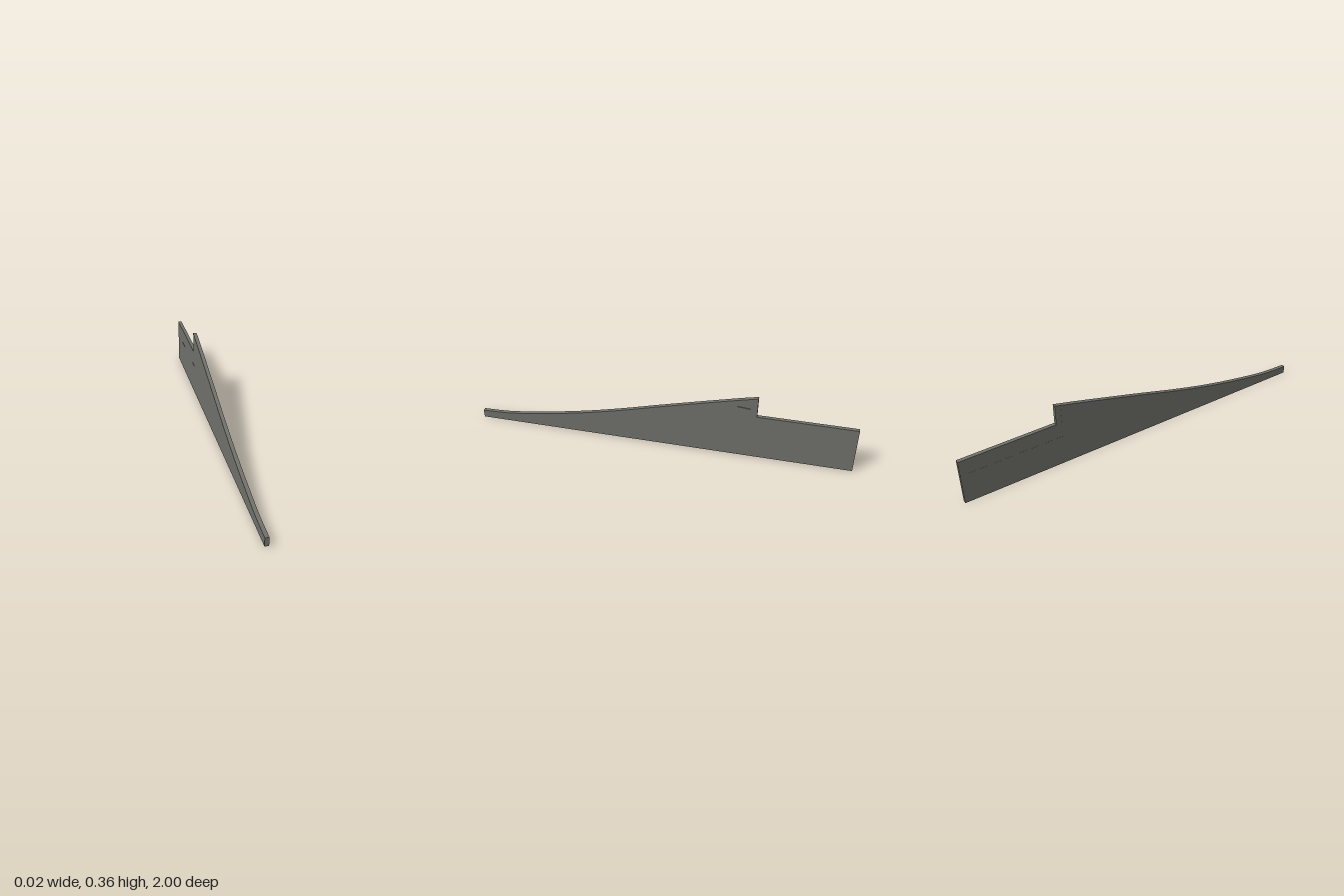
import * as THREE from 'three';

// Upper edge of the blade as (u, y), where u runs from the nose to the tail (u = -z)
const edge = new THREE.SplineCurve([
  [-1, 0.043], [-0.9, 0.046], [-0.8, 0.055], [-0.6, 0.087], [-0.4, 0.127], [-0.2, 0.176],
  [0, 0.231], [0.2, 0.284], [0.4, 0.336], [0.5, 0.36],
].map(([u, y]) => new THREE.Vector2(u, y))).getPoints(48);

const points = (list) => list.map(([u, y]) => new THREE.Vector2(u, y));

export function createModel() {
  const model = new THREE.Group();
  const grey = new THREE.MeshStandardMaterial({ color: 0x70716b });
  grey.name = 'warm grey';

  // Plate with a side outline, spanning x0 to x1
  function plate(name, outline, x0, x1, hole) {
    const shape = new THREE.Shape(outline);
    if (hole) shape.holes.push(new THREE.Path(hole));
    const geometry = new THREE.ExtrudeGeometry(shape, { depth: x1 - x0, bevelEnabled: false });
    geometry.rotateY(Math.PI / 2);
    geometry.translate(x0, 0, 0);
    const mesh = new THREE.Mesh(geometry, grey);
    mesh.name = name;
    model.add(mesh);
  }

  // Wedge body with the step behind its peak
  const outline = [...points([[-1, 0], [1, 0], [1, 0.25], [0.5, 0.25]]), ...edge.slice().reverse()];
  plate('body', outline, -0.0096, 0.006);

  // Left skin with the small triangular recess below the peak
  const recess = points([[0.395, 0.298], [0.465, 0.32], [0.465, 0.292]]);
  plate('leftSkin', outline, 0.006, 0.0096, recess);

  // Rim following the curved edge on the left side
  const inner = edge.filter((p) => p.x < 0.465).map((p) => new THREE.Vector2(p.x, p.y - 0.036));
  plate('leftRim', [...inner, ...points([[0.465, 0.32], [0.465, 0.25], [0.5, 0.25]]), ...edge.slice().reverse()],
    0.0096, 0.01);

  // Right side panel, with the tail strip and corner tab left marginally lower
  const front = edge.filter((p) => p.x < 0.47);
  plate('rightPanel', [...points([[-1, 0], [1, 0], [1, 0.167], [0.47, 0.167], [0.47, 0.352]]), ...front.reverse()],
    -0.01, -0.0096);
  plate('cornerTab', points([[0.87, 0.205], [1, 0.205], [1, 0.25], [0.87, 0.25]]), -0.01, -0.0096);

  return model;
}
